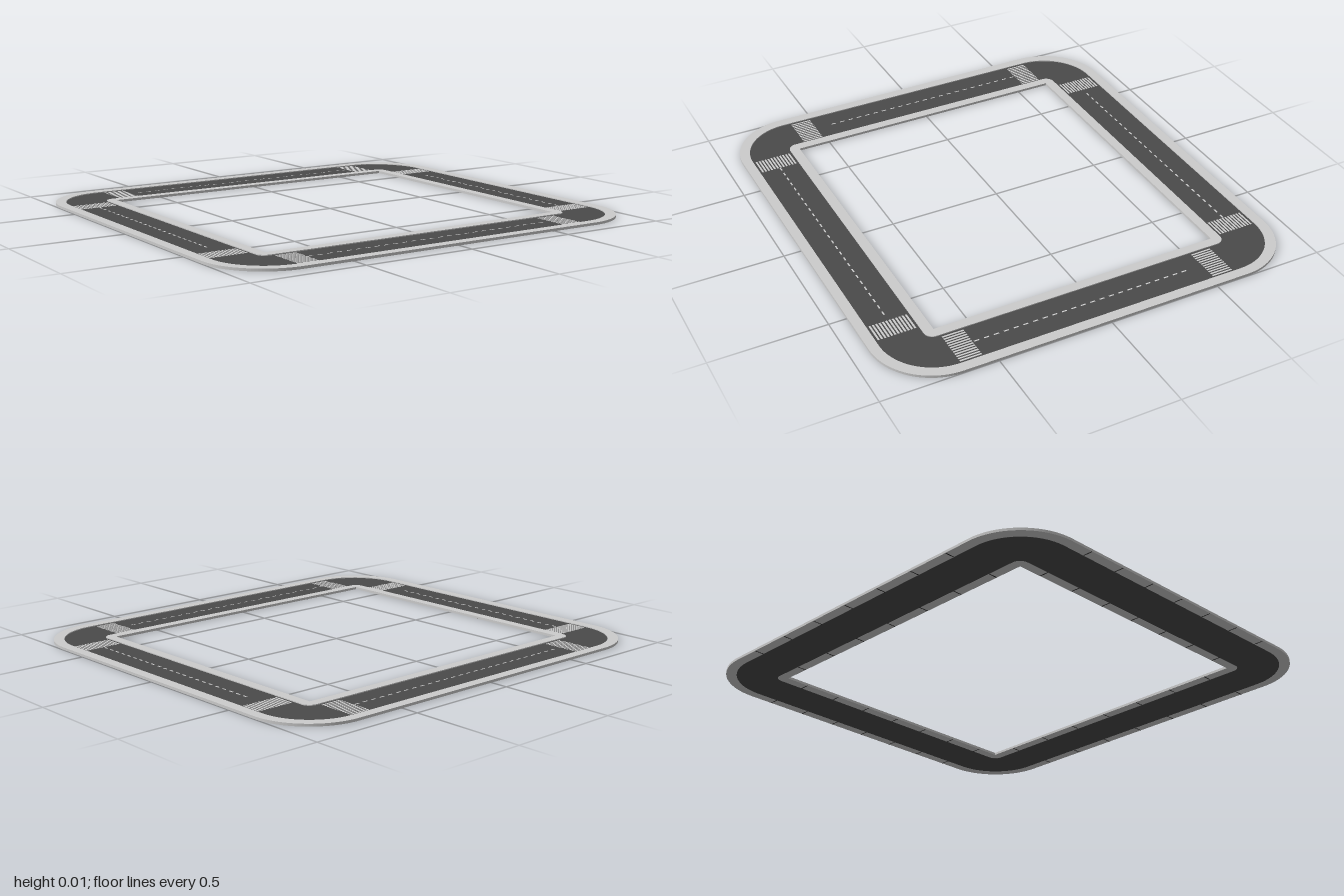
import * as THREE from 'three';

const grey = new THREE.MeshStandardMaterial({ color: 0xcccccc });
const asphalt = new THREE.MeshStandardMaterial({ color: 0x4a4a4a });
const joint = new THREE.MeshStandardMaterial({ color: 0x222222 });

// Rounded rectangle outline with half sizes hx, hz and corner radius r
function outline(Type, hx, hz, r) {
  const p = new Type();
  const corners = [[1, 1], [-1, 1], [-1, -1], [1, -1]];
  corners.forEach(([sx, sz], i) => {
    if (r > 0) p.absarc(sx * (hx - r), sz * (hz - r), r, i * Math.PI / 2, (i + 1) * Math.PI / 2);
    else if (i === 0) p.moveTo(sx * hx, sz * hz);
    else p.lineTo(sx * hx, sz * hz);
  });
  p.closePath();
  return p;
}

// Flat ring between two outlines, lying on the ground plane
function ring(name, outer, inner, bottom, top, material) {
  const shape = outline(THREE.Shape, ...outer);
  shape.holes.push(outline(THREE.Path, ...inner));
  const geo = new THREE.ExtrudeGeometry(shape, { depth: top - bottom, bevelEnabled: false, curveSegments: 16 });
  geo.rotateX(-Math.PI / 2).translate(0, bottom, 0);
  const mesh = new THREE.Mesh(geo, material);
  mesh.name = name;
  return mesh;
}

function slab(parent, name, x, y, z, w, h, d, material = grey) {
  const mesh = new THREE.Mesh(new THREE.BoxGeometry(w, h, d), material);
  mesh.position.set(x, y, z);
  mesh.name = name;
  parent.add(mesh);
}

const ROAD_TOP = 0.008;
const PAINT_Y = ROAD_TOP + 0.0005;

// Zebra crossing centred on x, z; alongX means the traffic runs along x
function crossing(x, z, alongX) {
  const g = new THREE.Group();
  g.name = 'crosswalk';
  const count = 12, pitch = 0.0142;
  for (let i = 0; i < count; i++) {
    const o = (i - (count - 1) / 2) * pitch;
    if (alongX) slab(g, 'stripe', x, PAINT_Y, z + o, 0.094, 0.001, 0.008);
    else slab(g, 'stripe', x + o, PAINT_Y, z, 0.008, 0.001, 0.094);
  }
  return g;
}

// Dashed centre line from a to b along one axis, at a fixed offset on the other
function dashes(a, b, offset, alongX, count) {
  const g = new THREE.Group();
  g.name = 'centreLine';
  const len = 0.022;
  for (let i = 0; i < count; i++) {
    const t = a + len / 2 + (b - a - len) * i / (count - 1);
    if (alongX) slab(g, 'dash', t, PAINT_Y, offset, len, 0.001, 0.006);
    else slab(g, 'dash', offset, PAINT_Y, t, 0.006, 0.001, len);
  }
  return g;
}

export function createModel() {
  const model = new THREE.Group();
  model.name = 'roadLoop';

  // Road bed and the raised pavements on either side
  model.add(ring('road', [0.955, 0.88, 0.235], [0.77, 0.694, 0.04], 0, ROAD_TOP, asphalt));
  model.add(ring('outerPavement', [1, 0.924, 0.275], [0.955, 0.88, 0.235], 0.001, 0.012, grey));
  model.add(ring('innerPavement', [0.77, 0.694, 0.04], [0.727, 0.65, 0], 0.001, 0.012, grey));

  // Painted markings: one half of the loop, repeated by a half turn
  for (const turn of [0, Math.PI]) {
    const half = new THREE.Group();
    half.name = turn ? 'frontLeftMarkings' : 'backRightMarkings';
    half.add(crossing(-0.64, -0.787, true), crossing(0.669, -0.787, true));
    half.add(crossing(-0.862, -0.593, false), crossing(-0.862, 0.562, false));
    half.add(dashes(-0.555, 0.62, -0.785, true, 27));
    half.add(dashes(-0.54, 0.437, -0.862, false, 23));
    half.rotation.y = turn;
    model.add(half);
  }

  // Thin joints between the pavement blocks, on the underside
  const joints = new THREE.Group();
  joints.name = 'pavementJoints';
  for (let i = -3; i <= 3; i++) {
    for (const s of [-1, 1]) {
      for (const [jx, jz] of [[0.977, 0.901], [0.749, 0.672]]) {
        slab(joints, 'joint', i * 0.2, 0.001, s * jz, 0.004, 0.001, 0.042, joint);
        slab(joints, 'joint', s * jx, 0.001, i * 0.18, 0.042, 0.001, 0.004, joint);
      }
    }
  }
  model.add(joints);
  return model;
}
